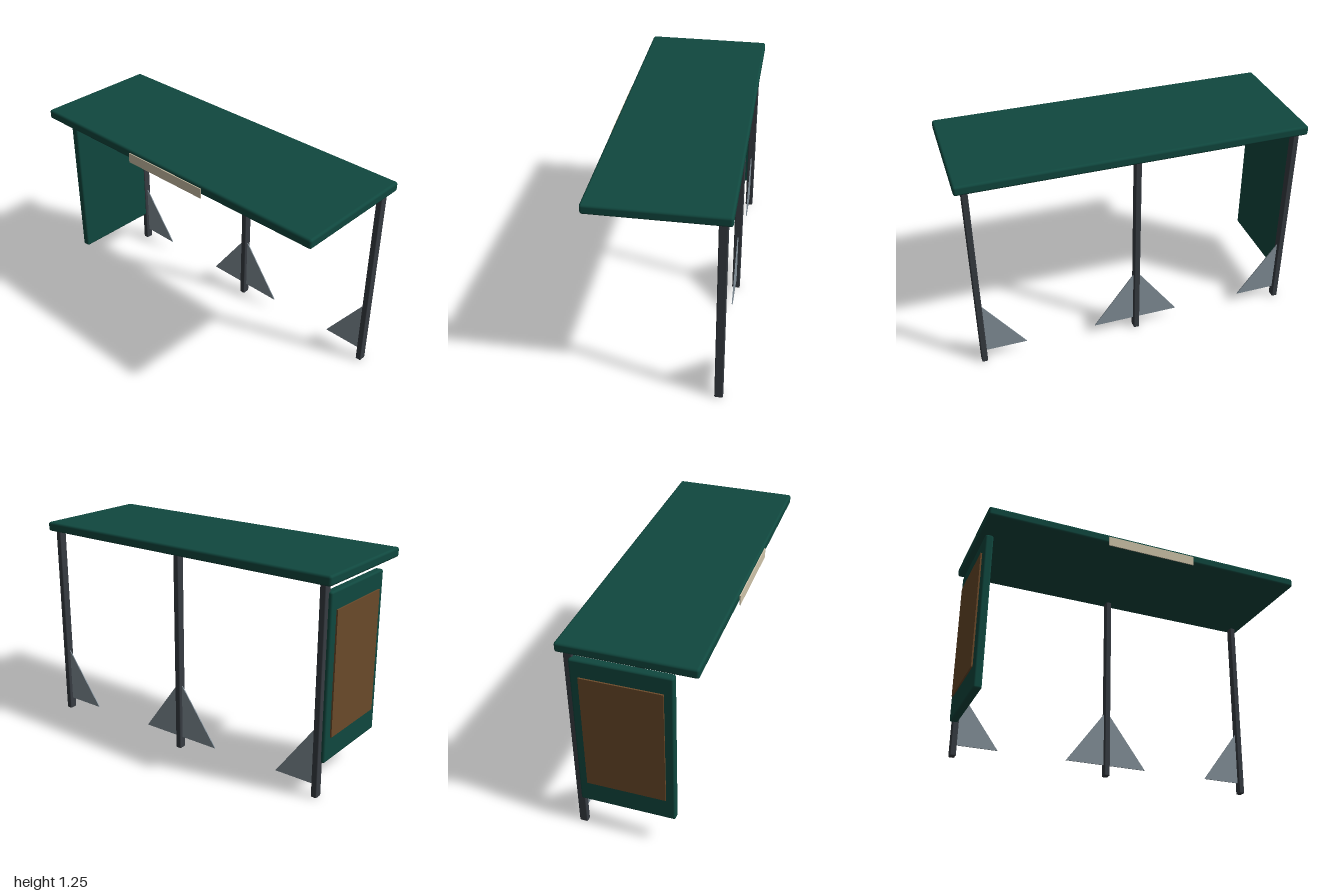
import * as THREE from 'three';
import { RoundedBoxGeometry } from 'three/addons/geometries/RoundedBoxGeometry.js';

function material(name, color) {
  const m = new THREE.MeshStandardMaterial({ color });
  m.name = name;
  return m;
}

export function createModel() {
  const green = material('dark green paint', 0x10483f);
  const steel = material('dark steel', 0x373c42);
  const grey = material('grey plate', 0x84919a);
  const cream = material('cream sign', 0xcfc4aa);
  const brown = material('brown board', 0x6b4a2a);

  const model = new THREE.Group();
  model.name = 'shelter';

  const add = (name, geometry, mat, x, y, z) => {
    const mesh = new THREE.Mesh(geometry, mat);
    mesh.name = name;
    mesh.position.set(x, y, z);
    model.add(mesh);
    return mesh;
  };

  // Roof slab and the sign on its front edge
  add('roof', new RoundedBoxGeometry(2, 0.056, 0.742, 2, 0.014), green, 0, 1.222, -0.003);
  add('frontSign', new THREE.BoxGeometry(0.556, 0.058, 0.006), cream, 0, 1.203, 0.371);

  // Side panel with a board on its outer face
  add('sidePanel', new RoundedBoxGeometry(0.048, 0.95, 0.55, 2, 0.012), green, -0.954, 0.676, -0.041);
  add('noticeBoard', new THREE.BoxGeometry(0.009, 0.71, 0.45), brown, -0.983, 0.695, -0.041);

  // Triangular brace, with its upright edge on the post
  const postZ = -0.324;
  const brace = (name, x, side) => {
    const shape = new THREE.Shape([
      new THREE.Vector2(0, 0.07),
      new THREE.Vector2(side * 0.245, 0.07),
      new THREE.Vector2(0, 0.405),
    ]);
    const geometry = new THREE.ExtrudeGeometry(shape, { depth: 0.006, bevelEnabled: false });
    add(name, geometry, grey, x + side * 0.015, 0, postZ - 0.003);
  };

  // Back posts, each braced toward the inside of the row
  const posts = [
    ['right', -0.942, [1]],
    ['middle', 0, [-1, 1]],
    ['left', 0.942, [-1]],
  ];
  for (const [label, x, sides] of posts) {
    add(label + 'Post', new RoundedBoxGeometry(0.035, 1.197, 0.048, 2, 0.006), steel, x, 0.5985, postZ);
    for (const side of sides) brace(label + 'Brace' + (side > 0 ? 'Left' : 'Right'), x, side);
  }

  return model;
}
